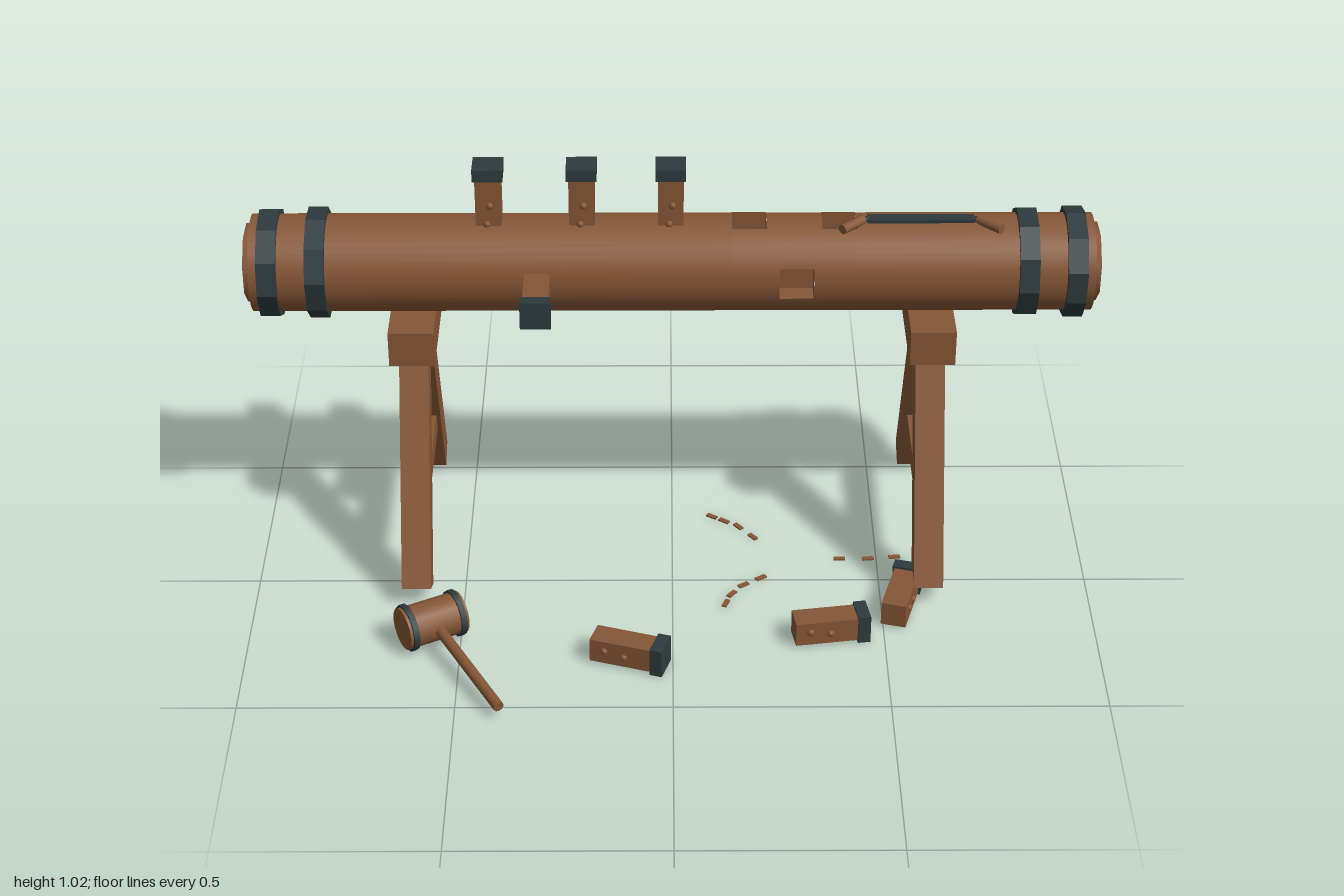
import * as THREE from 'three';

const wood = new THREE.MeshStandardMaterial({ color: 0x865737 });
wood.name = 'wood';
const iron = new THREE.MeshStandardMaterial({ color: 0x2f3a3d });
iron.name = 'iron';
const ironFlat = iron; // faceted iron parts use split normals instead of a second material

const LOG_Y = 0.77, LOG_Z = -0.217, R = 0.115, HALF = 0.985;

function add(parent, name, geometry, material, x = 0, y = 0, z = 0) {
  const mesh = new THREE.Mesh(geometry, material);
  mesh.name = name;
  mesh.position.set(x, y, z);
  parent.add(mesh);
  return mesh;
}

function faceted(geometry) {
  const g = geometry.toNonIndexed();
  g.computeVertexNormals();
  return g;
}

// Cylinder between two points
function rod(parent, name, a, b, r, material, sides = 12, r2 = r) {
  const from = new THREE.Vector3(...a), to = new THREE.Vector3(...b);
  const dir = to.clone().sub(from);
  const mesh = add(parent, name, new THREE.CylinderGeometry(r2, r, dir.length(), sides), material);
  mesh.position.copy(from).add(to).multiplyScalar(0.5);
  mesh.quaternion.setFromUnitVectors(new THREE.Vector3(0, 1, 0), dir.normalize());
  return mesh;
}

// Round log surface with square openings left out
function logShell() {
  const xs = [-HALF, 0.14, 0.22, 0.25, 0.33, 0.35, 0.43, HALF];
  const N = 36, pos = [], nor = [], idx = [];
  xs.forEach((x) => {
    for (let j = 0; j <= N; j++) {
      const a = (j / N) * Math.PI * 2, s = Math.sin(a), c = Math.cos(a);
      pos.push(x, R * s, R * c);
      nor.push(0, s, c);
    }
  });
  for (let i = 0; i < xs.length - 1; i++) {
    for (let j = 0; j < N; j++) {
      const topHole = (i === 1 || i === 5) && j >= 7 && j < 11;
      const frontHole = i === 3 && (j < 2 || j >= N - 2);
      if (topHole || frontHole) continue;
      const a = i * (N + 1) + j, b = a + N + 1;
      idx.push(a, b, b + 1, a, b + 1, a + 1);
    }
  }
  const g = new THREE.BufferGeometry();
  g.setAttribute('position', new THREE.Float32BufferAttribute(pos, 3));
  g.setAttribute('normal', new THREE.Float32BufferAttribute(nor, 3));
  g.setIndex(idx);
  return g;
}

// Inward-facing box without its outer face
function pocket() {
  const box = new THREE.BoxGeometry(0.08, 0.079, 0.052).translate(0, 0, 0.084);
  const index = Array.from(box.index.array);
  box.setIndex([...index.slice(0, 24), ...index.slice(30)].reverse());
  return faceted(box);
}

// Square peg along +y with an iron cap and small studs on its +z face
function post() {
  const g = new THREE.Group();
  g.name = 'post';
  add(g, 'postShaft', new THREE.BoxGeometry(0.06, 0.15, 0.06), wood, 0, 0.075, 0);
  add(g, 'postCap', new THREE.BoxGeometry(0.071, 0.03, 0.069), iron, 0, 0.163, 0);
  for (const y of [0.035, 0.083]) {
    const stud = add(g, 'stud', new THREE.SphereGeometry(0.009, 10, 6), wood, y > 0.05 ? 0.004 : -0.004, y, 0.03);
    stud.scale.z = 0.8;
  }
  return g;
}

function trestle(x) {
  const g = new THREE.Group();
  g.name = 'trestle';
  g.position.set(x, 0, LOG_Z);
  add(g, 'saddle', new THREE.BoxGeometry(0.107, 0.088, 0.28), wood, 0, 0.612, 0);
  for (const s of [-1, 1]) {
    const dz = 0.268, dy = 0.56;
    const leg = add(g, 'leg', new THREE.BoxGeometry(0.07, Math.hypot(dz, dy), 0.071), wood, 0, 0.322, s * 0.159);
    leg.rotation.x = -s * Math.atan2(dz, dy);
  }
  add(g, 'crossBrace', new THREE.BoxGeometry(0.05, 0.052, 0.37), wood, 0, 0.215, 0);
  return g;
}

export function createModel() {
  const model = new THREE.Group();
  model.name = 'logBench';

  // Log with pockets and end plates
  const log = new THREE.Group();
  log.name = 'log';
  log.position.set(0, LOG_Y, LOG_Z);
  model.add(log);
  add(log, 'logSurface', logShell(), wood);
  add(log, 'frontPocket', pocket(), wood, 0.29);
  for (const x of [0.18, 0.39]) add(log, 'topPocket', pocket(), wood, x).rotation.x = -Math.PI / 2;
  for (const s of [-1, 1]) {
    add(log, 'logEnd', new THREE.CircleGeometry(R, 36), wood, s * HALF).rotation.y = (s * Math.PI) / 2;
    const plate = new THREE.CylinderGeometry(0.093, 0.093, 0.014, 8).rotateY(Math.PI / 8).rotateZ(Math.PI / 2);
    add(log, 'endPlate', plate, wood, s * 0.993);
    // Iron hoops
    [0.83, 0.942].forEach((x, k) => {
      const hoop = faceted(new THREE.CylinderGeometry(0.131, 0.131, 0.046, 10).rotateZ(Math.PI / 2));
      add(log, 'hoop', hoop, ironFlat, s * x).rotation.x = k * 0.25 + s * 0.1;
    });
  }

  // Fitted posts
  for (const x of [-0.427, -0.21, -0.003]) {
    const p = post();
    p.position.set(x, 0.85, LOG_Z - 0.003);
    model.add(p);
  }
  const sidePost = post();
  sidePost.position.set(-0.314, LOG_Y, -0.14);
  sidePost.rotation.x = Math.PI / 2;
  model.add(sidePost);

  // Trestles
  for (const s of [-1, 1]) model.add(trestle(s * 0.612));

  // Loose posts on the ground: start, then cap end (x, z)
  for (const [x0, z0, x1, z1, side] of [
    [-0.185, 0.3, -0.015, 0.355, 1],
    [0.285, 0.245, 0.465, 0.217, 1],
    [0.523, 0.195, 0.572, 0.02, 1],
  ]) {
    const p = post();
    const along = new THREE.Vector3(x1 - x0, 0, z1 - z0).normalize();
    const face = new THREE.Vector3(-along.z, 0, along.x).multiplyScalar(side);
    const across = new THREE.Vector3().crossVectors(along, face);
    p.quaternion.setFromRotationMatrix(new THREE.Matrix4().makeBasis(across, along, face));
    p.position.set(x0, 0.04, z0);
    model.add(p);
  }

  // Mallet
  const mallet = new THREE.Group();
  mallet.name = 'mallet';
  model.add(mallet);
  const at = (t) => [-0.567 + 0.879 * t, 0.064, 0.243 - 0.477 * t];
  rod(mallet, 'malletHead', at(-0.075), at(0.075), 0.051, wood, 16);
  for (const s of [-1, 1]) rod(mallet, 'malletBand', at(s * 0.054), at(s * 0.068), 0.057, iron, 12);
  rod(mallet, 'malletHandle', [-0.567, 0.067, 0.243], [-0.397, 0.036, 0.538], 0.013, wood, 10);

  // Drawknife lying on the log
  const knife = new THREE.Group();
  knife.name = 'drawknife';
  model.add(knife);
  add(knife, 'blade', new THREE.BoxGeometry(0.25, 0.008, 0.03), iron, 0.58, 0.89, -0.205);
  for (const s of [-1, 1]) {
    rod(knife, 'tang', [0.58 + s * 0.12, 0.889, -0.208], [0.58 + s * 0.145, 0.888, -0.2], 0.007, iron, 8);
    rod(knife, 'knifeHandle', [0.58 + s * 0.135, 0.888, -0.205], [0.58 + s * 0.185, 0.886, -0.16], 0.012, wood, 10);
  }

  // Wood shavings in short curved trails
  const trails = [
    [[0.128, 0.1], [0.143, 0.062], [0.172, 0.025], [0.215, -0.005]],
    [[0.41, -0.085], [0.48, -0.085], [0.545, -0.092], [0.61, -0.1]],
    [[0.1, -0.27], [0.13, -0.25], [0.165, -0.225], [0.2, -0.18]],
  ];
  trails.forEach((trail) => trail.forEach(([x, z], i) => {
    const [a, b] = i < 3 ? [trail[i], trail[i + 1]] : [trail[2], trail[3]];
    const chip = add(model, 'shaving', new THREE.BoxGeometry(0.028, 0.004, 0.012), wood, x, 0.008, z);
    chip.rotation.y = -Math.atan2(b[1] - a[1], b[0] - a[0]);
  }));

  return model;
}
